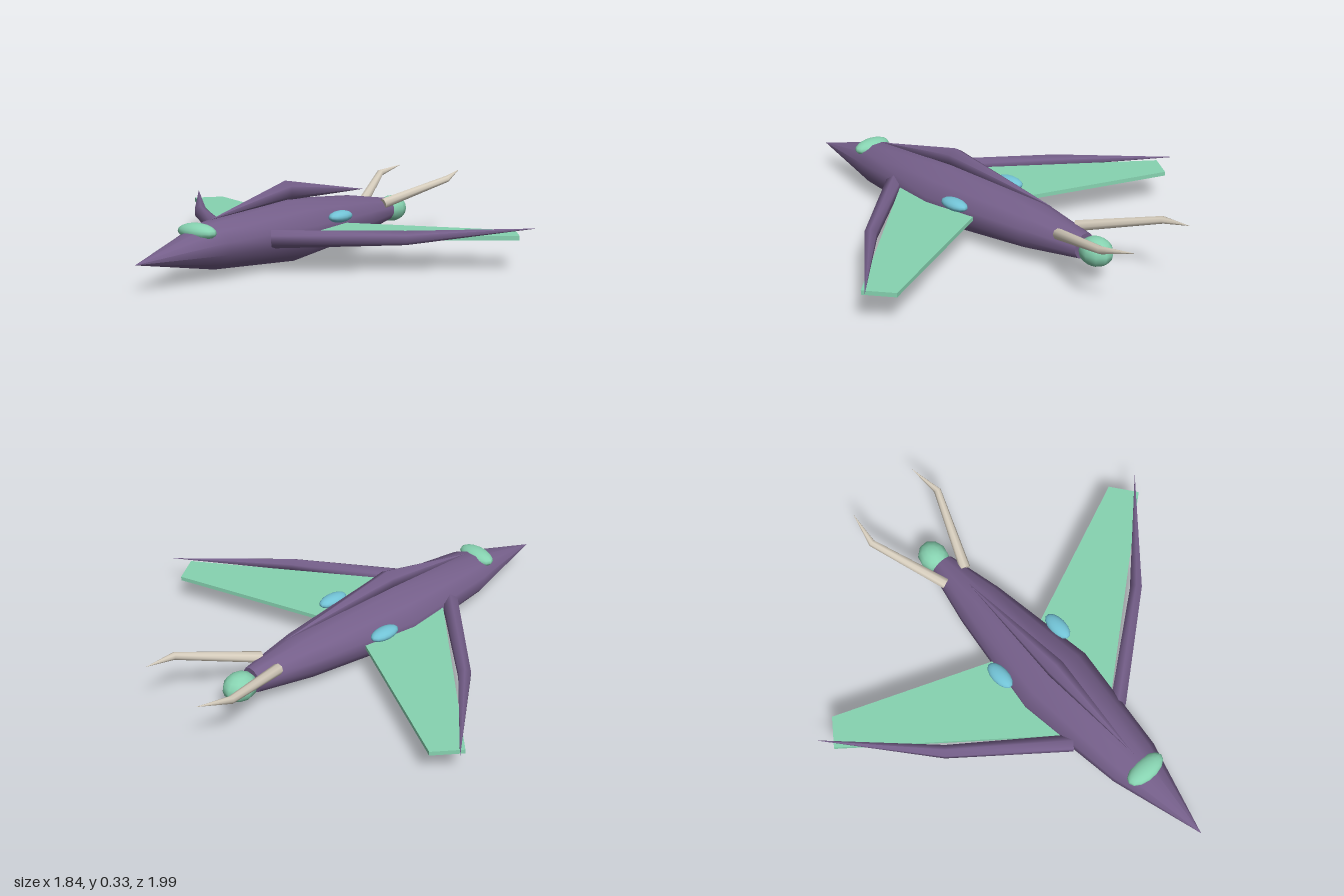
import * as THREE from 'three';

const mat = (name, color) => Object.assign(new THREE.MeshStandardMaterial({ color }), { name });

// Closed skin through rings [x, y, z, sideRadius, upRadius], square to the path
function loft(rings, sides, turn = 0) {
  const up = new THREE.Vector3(0, 1, 0);
  const centres = rings.map(r => new THREE.Vector3(r[0], r[1], r[2]));
  const pos = [], idx = [];
  const ring = (i) => {
    const a = centres[Math.max(i - 1, 0)], b = centres[Math.min(i + 1, rings.length - 1)];
    const dir = b.clone().sub(a).normalize();
    const side = dir.clone().cross(up).normalize();
    const top = side.clone().cross(dir);
    const [, , , rx, ry = rx] = rings[i];
    for (let j = 0; j < sides; j++) {
      const t = (j / sides) * Math.PI * 2 + turn;
      const p = centres[i].clone().addScaledVector(side, Math.cos(t) * rx).addScaledVector(top, Math.sin(t) * ry);
      pos.push(p.x, p.y, p.z);
    }
  };
  rings.forEach((_, i) => ring(i));
  for (let i = 0; i < rings.length - 1; i++) {
    for (let j = 0; j < sides; j++) {
      const a = i * sides + j, b = i * sides + (j + 1) % sides;
      idx.push(a, a + sides, b, b, a + sides, b + sides);
    }
  }
  // Flat end caps where the skin does not close to a point
  for (const i of [0, rings.length - 1]) {
    if (rings[i][3] === 0) continue;
    const s = pos.length / 3;
    ring(i);
    for (let j = 1; j < sides - 1; j++) {
      if (i === 0) idx.push(s, s + j, s + j + 1);
      else idx.push(s, s + j + 1, s + j);
    }
  }
  const g = new THREE.BufferGeometry();
  g.setAttribute('position', new THREE.Float32BufferAttribute(pos, 3));
  g.setIndex(idx);
  g.computeVertexNormals();
  return g;
}

export function createModel() {
  const group = new THREE.Group();
  const purple = mat('purple hide', 0x755f8a);
  const mint = mat('mint', 0x87d3b1);
  const blue = mat('pale blue', 0x72c3d6);
  const bone = mat('bone', 0xd6cdbd);

  const add = (name, geometry, material) => {
    const m = new THREE.Mesh(geometry, material);
    m.name = name;
    group.add(m);
    return m;
  };
  const ellipsoid = (name, material, centre, radii, w = 14, h = 10) => {
    const m = add(name, new THREE.SphereGeometry(1, w, h), material);
    m.position.set(...centre);
    m.scale.set(...radii);
  };

  // Spindle body, pointed at the nose and cut flat at the tail
  add('body', loft([
    [0, 0.128, -0.61, 0.056, 0.054],
    [0, 0.128, -0.36, 0.11, 0.093],
    [0, 0.128, 0.12, 0.178, 0.131],
    [0, 0.128, 0.6, 0.116, 0.094],
    [0, 0.112, 1.0, 0, 0],
  ], 12, Math.PI / 12), purple);

  // Long ridge along the back
  add('backRidge', loft([
    [0, 0.24, -0.44, 0, 0],
    [0, 0.293, 0.12, 0.042, 0.042],
    [0, 0.228, 0.59, 0, 0],
  ], 6, Math.PI / 2), purple);

  // Brow canopy over the nose and glowing tail bulb
  ellipsoid('browCanopy', mint, [0, 0.192, 0.662], [0.092, 0.034, 0.048]);
  ellipsoid('tailBulb', mint, [0, 0.126, -0.67], [0.064, 0.06, 0.075], 10, 8);

  for (const s of [1, -1]) {
    const side = s > 0 ? 'left' : 'right';

    // Tapering, bent wing spar
    add(side + 'WingSpar', loft([
      [s * 0.13, 0.136, 0.37, 0.037],
      [s * 0.55, 0.141, 0.04, 0.029],
      [s * 0.92, 0.165, -0.355, 0],
    ], 6, Math.PI / 2), purple);

    // Flat wing membrane
    const outline = [[0.1, 0.35], [0.88, -0.285], [0.8, -0.395], [0.1, -0.11]];
    const shape = new THREE.Shape(outline.map(([x, z]) => new THREE.Vector2(s * x, z)));
    const wing = new THREE.ExtrudeGeometry(shape, { depth: 0.018, bevelEnabled: false });
    wing.rotateX(Math.PI / 2).translate(0, 0.14, 0);
    add(side + 'WingMembrane', wing, mint);

    // Shoulder pod
    ellipsoid(side + 'Pod', blue, [s * 0.165, 0.18, -0.045], [0.036, 0.025, 0.07]);

    // Tail prong with a hooked tip
    add(side + 'TailProng', loft([
      [s * 0.055, 0.168, -0.52, 0.024],
      [s * 0.187, 0.258, -0.845, 0.016],
      [s * 0.165, 0.287, -0.99, 0],
    ], 8), bone);
  }
  return group;
}
